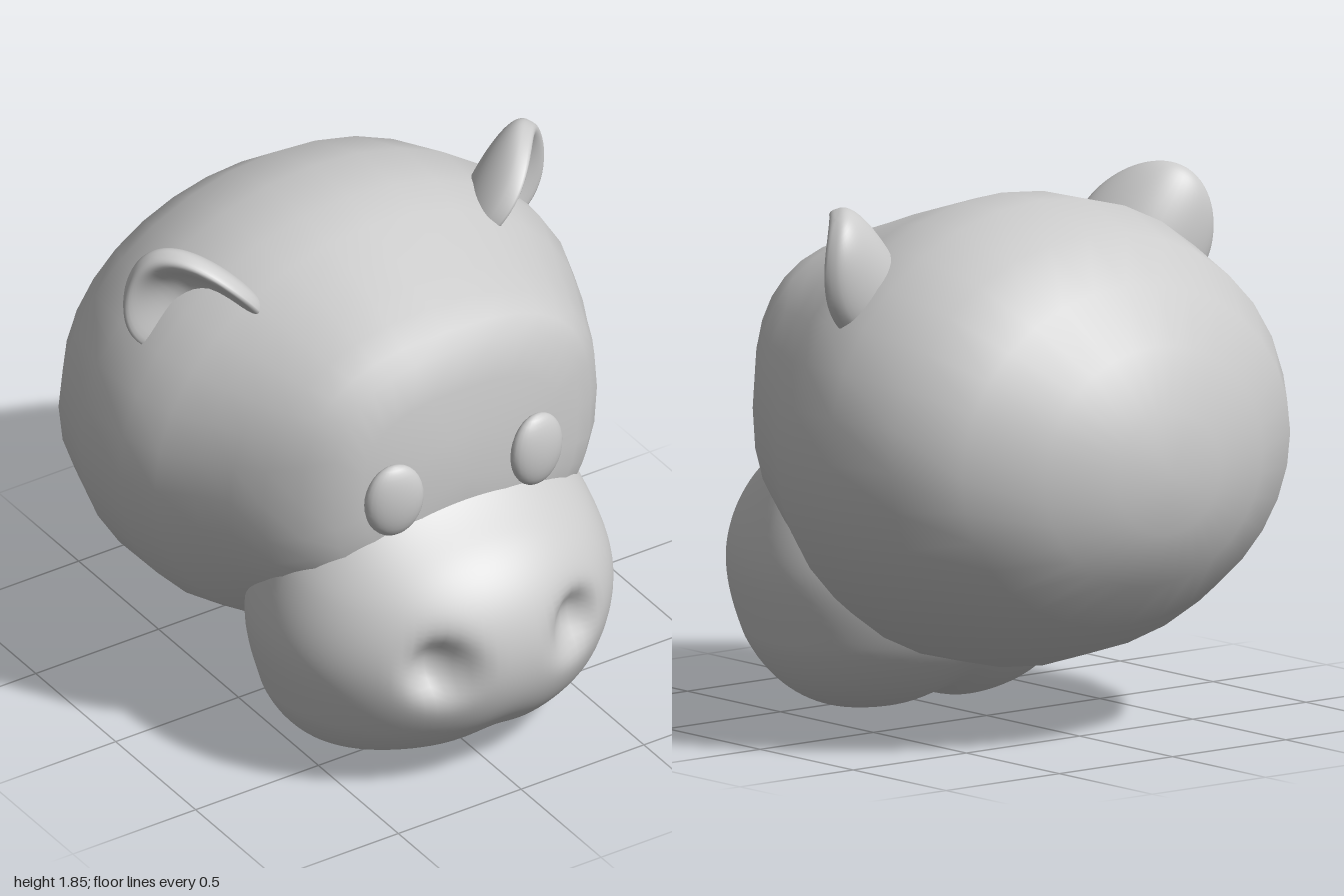
import * as THREE from 'three';
import { mergeVertices } from 'three/addons/utils/BufferGeometryUtils.js';

const material = new THREE.MeshStandardMaterial({ color: 0xcccccc });

function addMesh(group, geometry, name) {
  const mesh = new THREE.Mesh(geometry, material);
  mesh.name = name;
  group.add(mesh);
  return mesh;
}

// Unit sphere whose vertices are moved by a rule, with seamless smooth normals
function shapedSphere(wide, high, rule) {
  let geo = new THREE.SphereGeometry(1, wide, high);
  geo.deleteAttribute('uv');
  geo.deleteAttribute('normal');
  geo = mergeVertices(geo, 1e-4);
  const pos = geo.attributes.position;
  const p = new THREE.Vector3();
  for (let i = 0; i < pos.count; i++) {
    p.fromBufferAttribute(pos, i);
    rule(p);
    pos.setXYZ(i, p.x, p.y, p.z);
  }
  geo.computeVertexNormals();
  return geo;
}

// Skull: rounded cross-sections from back to face
function skullGeometry() {
  // z, half width, top, bottom, squareness
  const sections = [
    [-0.98, 0.23, 1.18, 0.76, 2], [-0.9, 0.48, 1.4, 0.57, 2],
    [-0.75, 0.725, 1.59, 0.41, 2], [-0.55, 0.875, 1.74, 0.29, 2],
    [-0.3, 0.95, 1.825, 0.21, 2], [-0.08, 0.935, 1.82, 0.2, 2],
    [0.06, 0.88, 1.78, 0.24, 2], [0.2, 0.805, 1.735, 0.35, 2.05],
    [0.32, 0.745, 1.69, 0.43, 2.15], [0.43, 0.68, 1.65, 0.51, 2.35],
    [0.53, 0.59, 1.605, 0.62, 2.7], [0.59, 0.5, 1.565, 0.72, 2.9],
    [0.622, 0.4, 1.42, 0.82, 2.7], [0.645, 0.22, 1.24, 0.92, 2.3],
  ];
  const sides = 32, points = [], index = [];
  for (const [z, w, top, bottom, n] of sections) {
    for (let j = 0; j < sides; j++) {
      const a = (j / sides) * Math.PI * 2;
      const c = Math.cos(a), s = Math.sin(a);
      points.push(
        w * Math.sign(c) * Math.abs(c) ** (2 / n),
        (top + bottom) / 2 + ((top - bottom) / 2) * Math.sign(s) * Math.abs(s) ** (2 / n), z);
    }
  }
  const last = (sections.length - 1) * sides;
  const back = sections.length * sides, front = back + 1;
  points.push(0, 0.97, -1, 0, 1.08, 0.65);
  for (let j = 0; j < sides; j++) {
    const k = (j + 1) % sides;
    for (let r = 0; r < last; r += sides) {
      index.push(r + j, r + k, r + sides + k, r + j, r + sides + k, r + sides + j);
    }
    index.push(back, k, j, front, last + j, last + k);
  }
  const geo = new THREE.BufferGeometry();
  geo.setAttribute('position', new THREE.Float32BufferAttribute(points, 3));
  geo.setIndex(index);
  geo.computeVertexNormals();
  return geo;
}

// Muzzle: full ellipsoid with broad jowls, a chin groove and two nostril hollows
function muzzleGeometry() {
  return shapedSphere(96, 64, (p) => {
    const ring = Math.max(Math.hypot(p.x, p.z), 0.001);
    const squareness = (p.y < 0 ? 0.48 : 0.16) * Math.min(1, Math.abs(p.y) * 2);
    const x = 0.66 * p.x * ring ** -squareness;
    let y = 0.5 + (p.y < 0 ? 0.51 : 0.5) * p.y;
    let z = 0.4 + (p.z > 0 ? 0.6 : 0.5) * p.z;
    if (p.y < 0) {
      y += 0.04 * p.y * p.y * Math.exp(-((x / 0.1) ** 2));
    } else {
      // the bridge sweeps up into the face
      y += 1.8 * p.y * p.y * Math.max(0, 0.78 - Math.max(z, 0.4)) ** 2;
    }
    if (p.z > 0) {
      const d = Math.hypot((Math.abs(x) - 0.27) / 0.095, (y - 0.53) / 0.105);
      z -= 0.1 * Math.exp(-(d ** 2.5));
    }
    p.set(x, y, z);
  });
}

// Ear: thick leaf with a rounded rim, hollow at the front, edges curling forward
function earGeometry(side) {
  const across = new THREE.Vector3(0.6, -0.47, -0.64).normalize();
  const up = new THREE.Vector3(0.615, 0.786, -0.07).normalize();
  const out = new THREE.Vector3().crossVectors(across, up).normalize();
  const centre = new THREE.Vector3(0.635, 1.615, -0.085);
  return shapedSphere(48, 36, (p) => {
    const u = side * p.x * 0.23 * (1 - 0.08 * p.y);
    const v = p.y * 0.25;
    let n = Math.sign(p.z) * Math.abs(p.z) ** 0.7 * 0.085 + 0.09 * p.x * p.x - 0.035;
    if (p.z > 0) n -= 0.11 * p.z ** 3;
    p.copy(centre).addScaledVector(across, u).addScaledVector(up, v).addScaledVector(out, n);
    p.x *= side;
  });
}

export function createModel() {
  const model = new THREE.Group();
  model.name = 'animalHead';
  addMesh(model, skullGeometry(), 'skull');
  addMesh(model, muzzleGeometry(), 'muzzle');

  for (const side of [1, -1]) {
    const label = side > 0 ? 'left' : 'right';
    addMesh(model, earGeometry(side), label + 'Ear');
    // Oval eyes turned slightly outward
    const eye = addMesh(model, new THREE.SphereGeometry(1, 24, 16), label + 'Eye');
    eye.scale.set(0.11, 0.14, 0.05);
    eye.position.set(side * 0.29, 1.09, 0.65);
    eye.rotation.y = side * 0.14;
  }
  return model;
}
